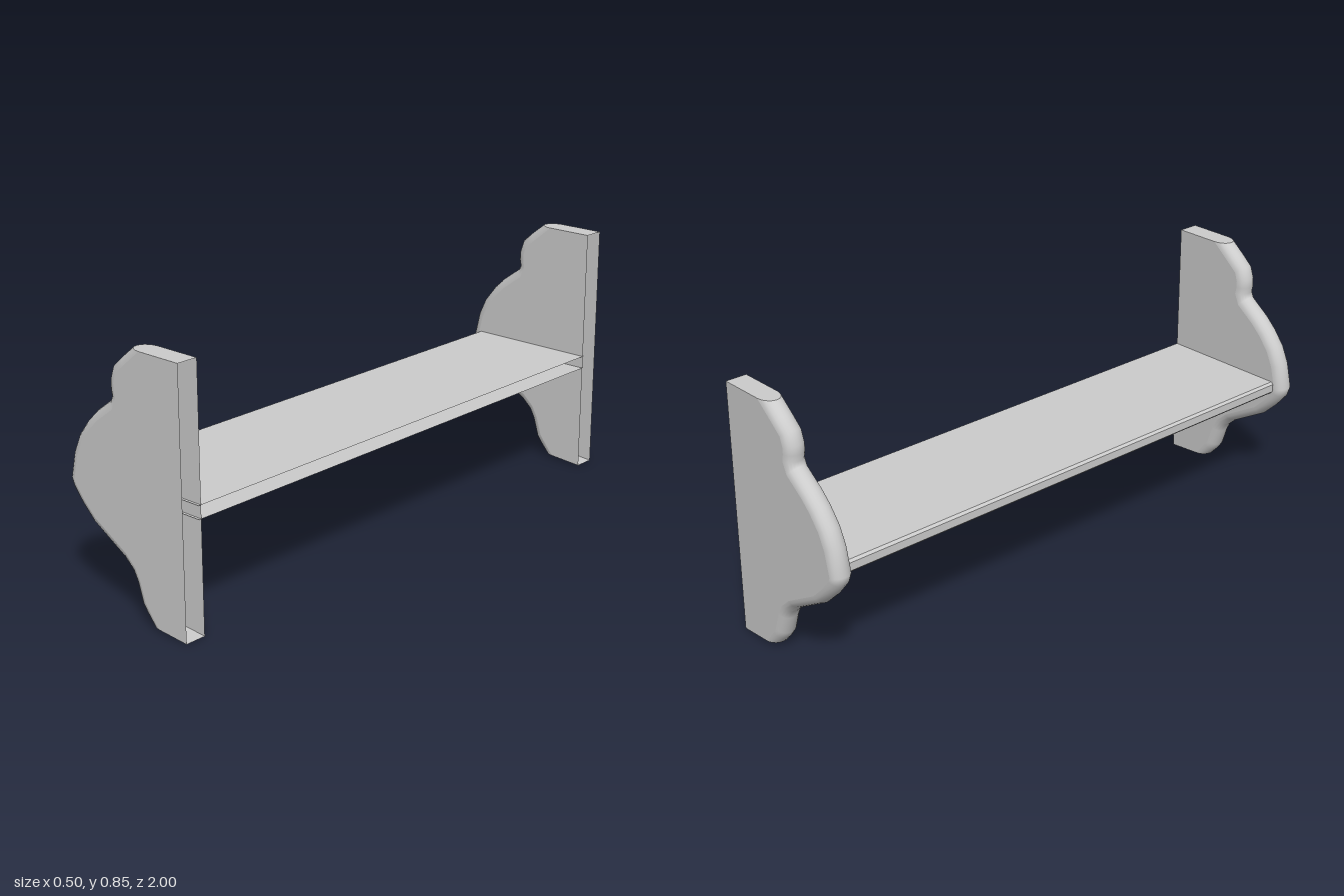
import * as THREE from 'three';

const material = new THREE.MeshStandardMaterial({ color: 0xcccccc, side: THREE.DoubleSide });
const BACK = 0.25, HALF = 0.036, ROUND = 0.032;

// Scalloped front edge of an end panel, from top to bottom (x, y)
const outline = [
  [0.042, 0.853], [0, 0.82], [-0.04, 0.785], [-0.055, 0.742], [-0.056, 0.712], [-0.051, 0.69],
  [-0.057, 0.675], [-0.125, 0.625], [-0.165, 0.587], [-0.206, 0.535], [-0.233, 0.477],
  [-0.253, 0.39], [-0.242, 0.357], [-0.203, 0.31], [-0.152, 0.262], [-0.019, 0.186],
  [0.013, 0.157], [0.029, 0.127], [0.049, 0.064], [0.068, 0.037], [0.094, 0.01],
].map(([x, y]) => new THREE.Vector2(x, y));

// Surface through equal rows of points
function surface(rows, flat = false) {
  const n = rows[0].length, index = [];
  for (let i = 0; i < rows.length - 1; i++) {
    for (let j = 0; j < n - 1; j++) {
      const a = i * n + j, b = a + n;
      index.push(a, b, a + 1, b, b + 1, a + 1);
    }
  }
  let g = new THREE.BufferGeometry();
  g.setAttribute('position', new THREE.Float32BufferAttribute(rows.flat(2), 3));
  g.setIndex(index);
  if (flat) g = g.toNonIndexed();
  g.computeVertexNormals();
  return g;
}

function addMesh(parent, geometry, name) {
  const mesh = new THREE.Mesh(geometry, material);
  mesh.name = name;
  parent.add(mesh);
  return mesh;
}

// Hollow end panel, half-round along the front edge and open at the back
function endPanel(name, z) {
  const panel = new THREE.Group();
  panel.name = name;
  const last = outline.length - 1;

  // Inward direction at each outline point; the ends slide along top and bottom
  const inward = outline.map((p, i) => {
    if (i === 0) return new THREE.Vector2(1.5, 0);
    if (i === last) return new THREE.Vector2(1.2, -0.05);
    const t = outline[i + 1].clone().sub(outline[i - 1]).normalize();
    return new THREE.Vector2(-t.y, t.x);
  });
  const inset = (i, d) => outline[i].clone().addScaledVector(inward[i], d);

  // Rounded rim
  const steps = 10;
  const rows = outline.map((_, i) => Array.from({ length: steps + 1 }, (_, j) => {
    const a = (j / steps - 0.5) * Math.PI;
    const p = inset(i, ROUND * (1 - Math.cos(a)));
    return [p.x, p.y, HALF * Math.sin(a)];
  }));
  addMesh(panel, surface(rows), 'roundedEdge');

  // Flat top and bottom
  const backRow = (row, y) => row.map(p => [BACK, y, p[2]]);
  addMesh(panel, surface([backRow(rows[0], 0.853), rows[0]], true), 'panelTop');
  addMesh(panel, surface([rows[last], backRow(rows[last], 0)], true), 'panelBottom');

  // Flat side faces
  const shape = new THREE.Shape([
    ...outline.map((_, i) => inset(i, ROUND)),
    new THREE.Vector2(BACK, 0), new THREE.Vector2(BACK, 0.853),
  ]);
  for (const s of [-1, 1]) {
    const face = addMesh(panel, new THREE.ShapeGeometry(shape), s > 0 ? 'frontFace' : 'rearFace');
    face.position.z = s * HALF;
  }
  panel.position.z = z;
  return panel;
}

export function createModel() {
  const model = new THREE.Group();
  model.name = 'wallShelf';
  model.add(endPanel('frontEndPanel', 1 - HALF), endPanel('rearEndPanel', HALF - 1));

  // Shelf board with a softened front edge, open at the back
  const profile = [[BACK, 0.413], [-0.207, 0.413], [-0.215, 0.405], [-0.215, 0.378], [-0.207, 0.37], [BACK, 0.37]];
  const rows = profile.map(([x, y]) => [[x, y, -0.937], [x, y, 0.937]]);
  addMesh(model, surface(rows, true), 'shelfBoard');
  return model;
}
